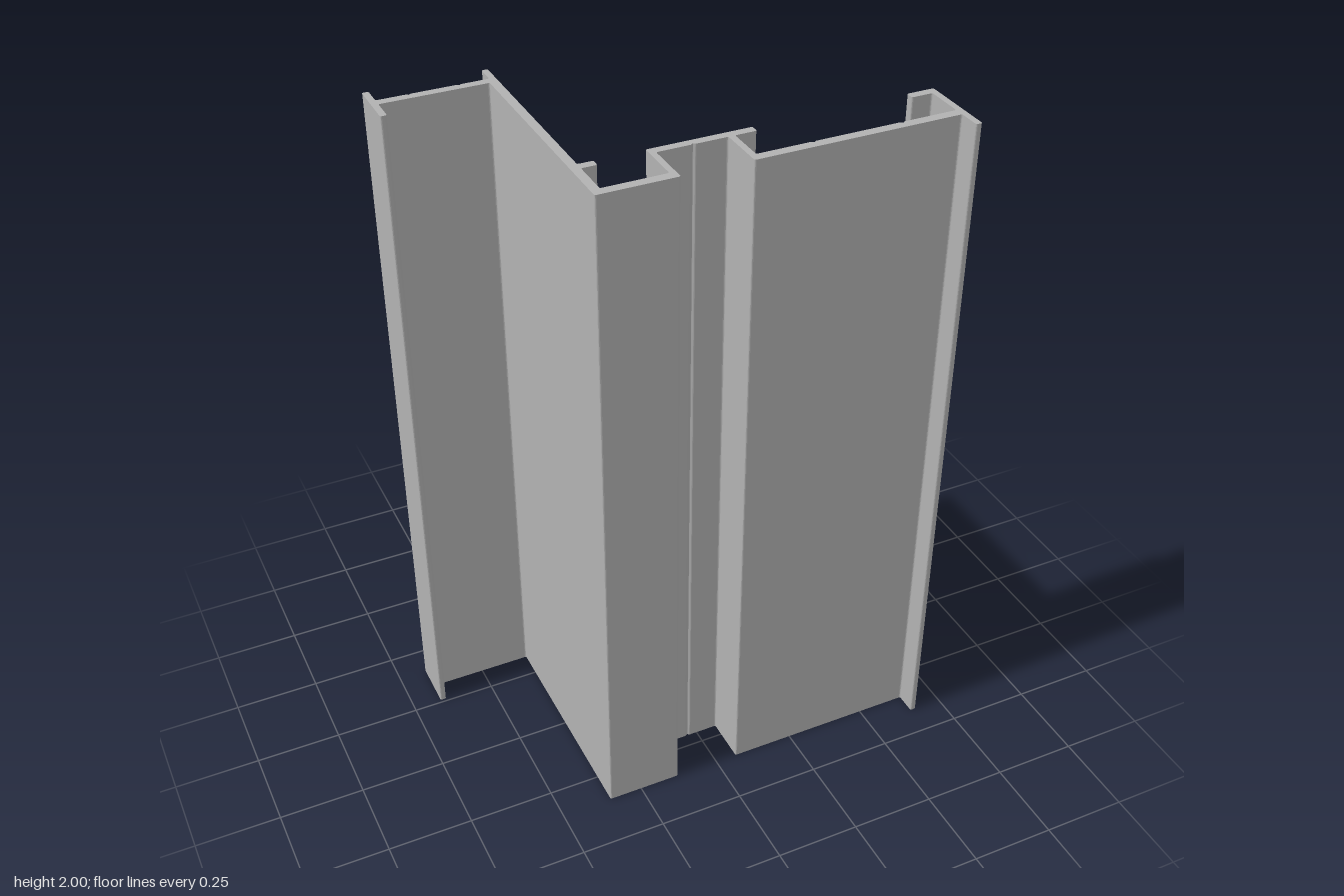
import * as THREE from 'three';

// Outline of the section as [x, z] corners
const notch = (x, z, d, dir) => [[x - 0.006 * dir, z], [x, z + d], [x + 0.006 * dir, z]];
const outline = [
  // rear flange, rear web with two score grooves, rear lip
  [-0.665, -0.412], [-0.647, -0.412], [-0.647, -0.355],
  ...notch(-0.56, -0.355, 0.005, 1), ...notch(-0.425, -0.355, 0.005, 1),
  [-0.341, -0.355], [-0.341, -0.412], [-0.324, -0.412],
  // long side wall with small inner stub
  [-0.324, 0.186], [-0.282, 0.186], [-0.282, 0.21], [-0.324, 0.21], [-0.324, 0.32],
  // channel and raised bar
  [-0.146, 0.32], [-0.146, 0.186], [0.143, 0.186], [0.143, 0.21], [0.083, 0.21],
  // front web with two score grooves
  [0.083, 0.32], ...notch(0.24, 0.32, 0.005, 1), ...notch(0.49, 0.32, 0.005, 1),
  // hooked front flange
  [0.647, 0.32], [0.647, 0.21], [0.586, 0.21], [0.586, 0.186], [0.665, 0.186],
  [0.665, 0.41], [0.647, 0.41], [0.647, 0.347],
  // way back along the front faces
  [0.065, 0.347], [0.065, 0.21], ...notch(-0.03, 0.21, -0.005, -1),
  [-0.129, 0.21], [-0.129, 0.347], [-0.349, 0.347], [-0.349, -0.33],
  [-0.647, -0.33], [-0.647, -0.26], [-0.665, -0.26],
];

// Closed shape with every corner slightly rounded
function roundedShape(corners, radius) {
  const pts = corners.map(([x, z]) => new THREE.Vector2(x, -z));
  const shape = new THREE.Shape();
  pts.forEach((p, i) => {
    const prev = pts[(i + pts.length - 1) % pts.length];
    const next = pts[(i + 1) % pts.length];
    const r = Math.min(radius, p.distanceTo(prev) * 0.3, p.distanceTo(next) * 0.3);
    const a = p.clone().add(prev.clone().sub(p).setLength(r));
    const b = p.clone().add(next.clone().sub(p).setLength(r));
    if (i === 0) shape.moveTo(a.x, a.y);
    else shape.lineTo(a.x, a.y);
    shape.quadraticCurveTo(p.x, p.y, b.x, b.y);
  });
  shape.closePath();
  return shape;
}

export function createModel() {
  const metal = new THREE.MeshStandardMaterial({ color: 0xb2b2b2 });
  metal.name = 'grey metal';

  // Section extruded upward to full height
  const geometry = new THREE.ExtrudeGeometry(roundedShape(outline, 0.005), {
    depth: 2, bevelEnabled: false, curveSegments: 3,
  });
  geometry.rotateX(-Math.PI / 2);

  const profile = new THREE.Mesh(geometry, metal);
  profile.name = 'extrudedFrameProfile';

  const model = new THREE.Group();
  model.name = 'frameProfile';
  model.add(profile);
  return model;
}
